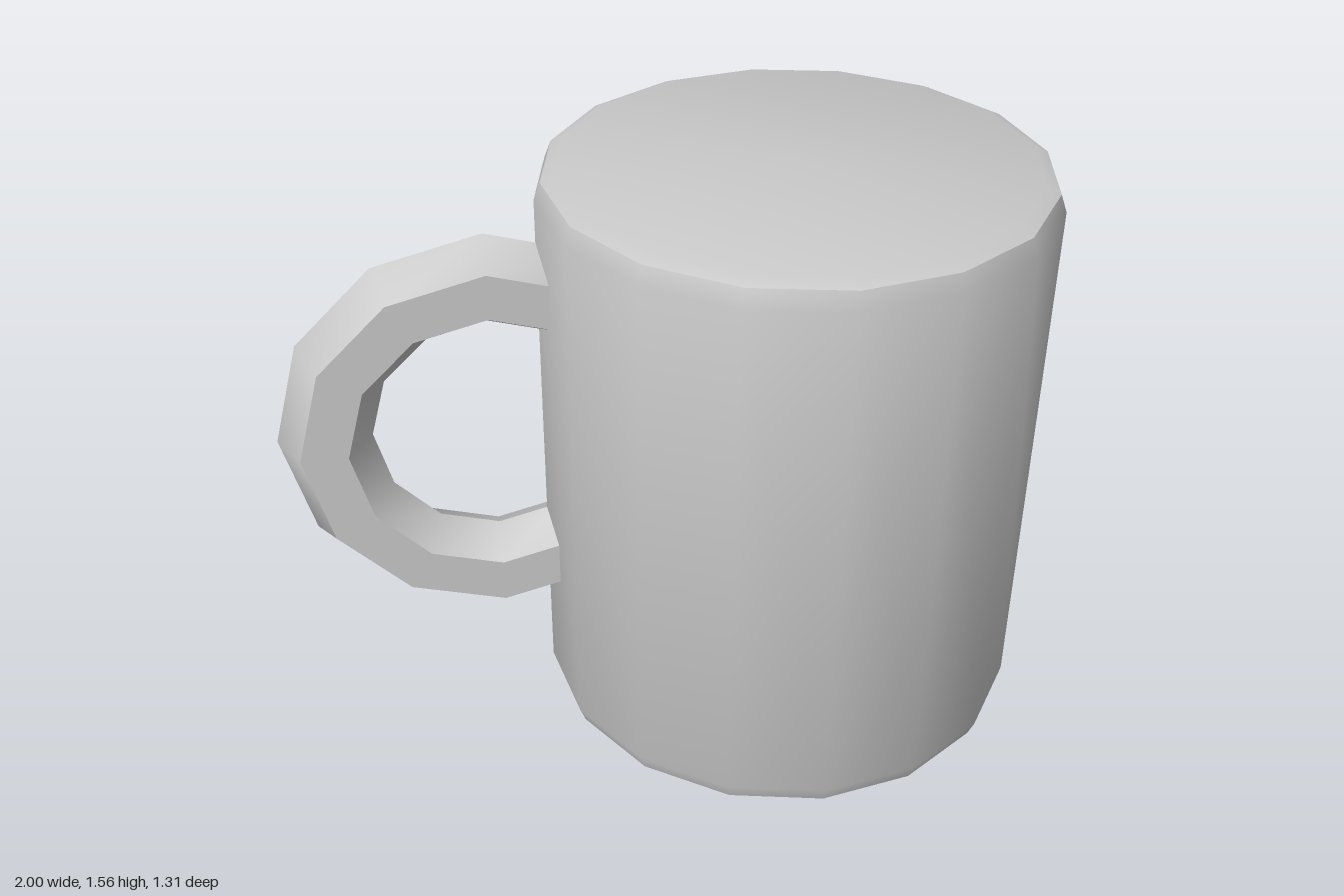
import * as THREE from 'three';
import { toCreasedNormals } from 'three/addons/utils/BufferGeometryUtils.js';

export function createModel() {
  const group = new THREE.Group();
  group.name = 'mug';
  const grey = new THREE.MeshStandardMaterial({ color: 0xc8c8c8 });
  grey.name = 'lightGrey';
  const crease = THREE.MathUtils.degToRad(38);

  function add(name, geometry, x, y) {
    const mesh = new THREE.Mesh(toCreasedNormals(geometry, crease), grey);
    mesh.name = name;
    mesh.position.set(x, y, 0);
    group.add(mesh);
  }

  // 16-sided solid body with a two-step bevel at both ends
  const height = 1.56;
  const bevel = [[0, 0], [0.605, 0], [0.638, 0.015], [0.655, 0.06]];
  const profile = [
    ...bevel.map(([r, y]) => new THREE.Vector2(r, y)),
    ...bevel.map(([r, y]) => new THREE.Vector2(r, height - y)).reverse(),
  ];
  add('body', new THREE.LatheGeometry(profile, 16), 0.345, 0);

  // Hexagonal ring handle, its open ends sunk into the body
  const handle = new THREE.TorusGeometry(0.4375, 0.1225, 6, 10, Math.PI * 10 / 6);
  handle.rotateZ(Math.PI / 6);
  add('handle', handle, -0.44, 0.86);

  return group;
}
